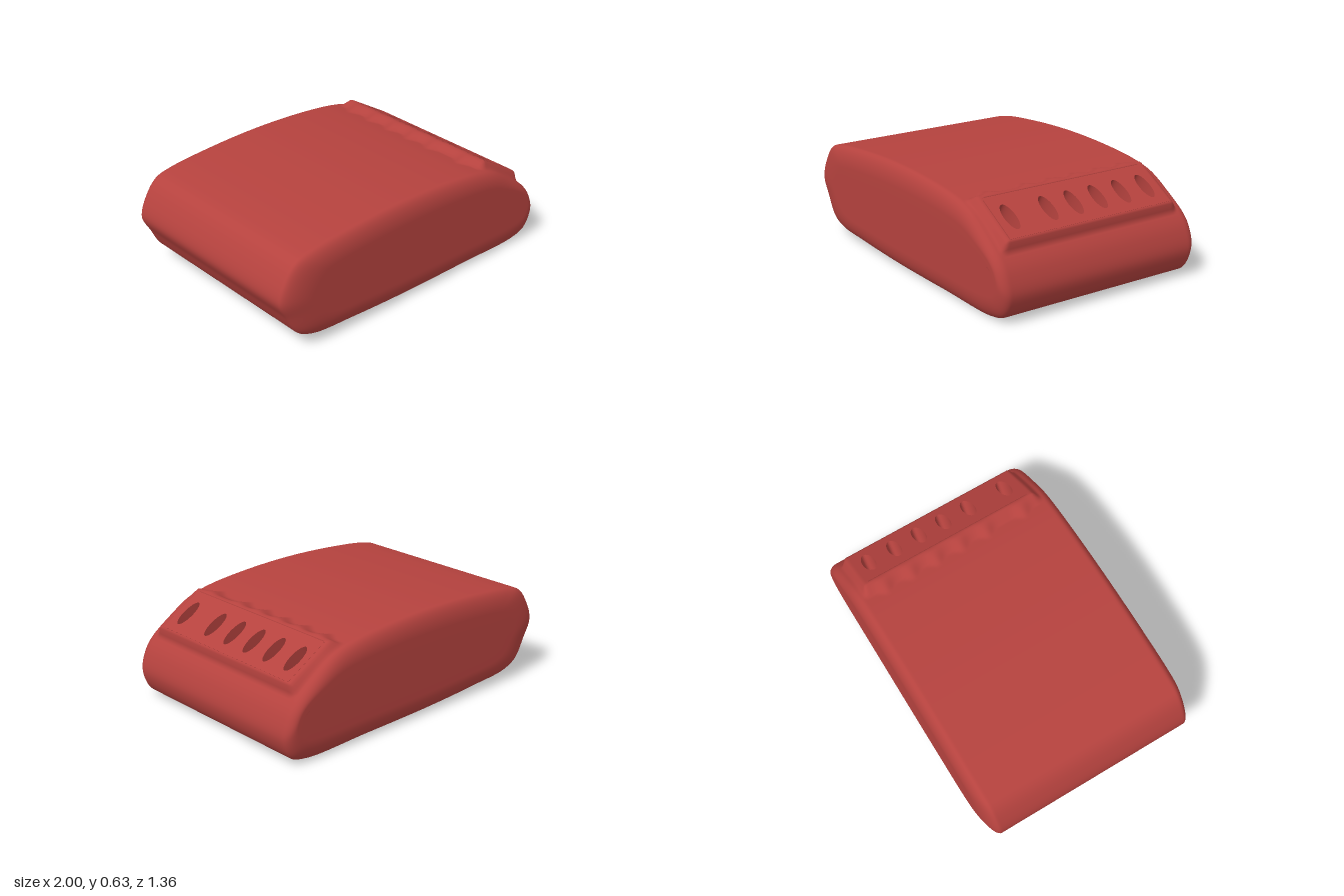
import * as THREE from 'three';

const material = new THREE.MeshStandardMaterial({ color: 0xb5423e });
const slotZ = [-0.475, -0.3, -0.13, 0.04, 0.215, 0.47];

// Sloped panel frame: centre, direction down the slope, outward normal
const centre = new THREE.Vector3(0.768, 0.51, 0);
const down = new THREE.Vector3(0.857, -0.515, 0).normalize();
const normal = new THREE.Vector3(-down.y, down.x, 0);

// Side outline of the body, counter-clockwise seen from the front
const outline = [
  [-1, 0.33], [-0.95, 0.22], [-0.88, 0.1], [-0.78, 0.05], [-0.5, 0.025], [-0.1, 0.006],
  [0.4, 0], [0.85, 0], [0.95, 0.035], [1, 0.15], [0.975, 0.26], [0.92, 0.345],
  [0.78, 0.455], [0.64, 0.54], [0.5, 0.578], [0.2, 0.61], [-0.15, 0.62],
  [-0.5, 0.605], [-0.78, 0.575], [-0.88, 0.545], [-0.95, 0.465],
];

const ripple = (z, width) => slotZ.reduce((sum, s) => sum + Math.exp(-(((z - s) / width) ** 2)), 0);
const fade = (d, margin) => 1 - THREE.MathUtils.smoothstep(d, 0, margin);

// Raises the panel surround, sinks its floor and dents the underside
function sculpt(p) {
  if (p.y > 0.28 && p.x > 0.4) {
    const q = p.clone().sub(centre);
    const u = q.dot(down), h = q.dot(normal);
    const upper = 0.05 + 0.04 * ripple(p.z, 0.045);
    const weight = fade(-0.17 - u, upper) * fade(u - 0.16, 0.03) * fade(Math.abs(p.z) - 0.57, 0.05);
    const sunk = u > -0.135 && u < 0.13 && Math.abs(p.z) < 0.54;
    p.addScaledVector(normal, (-h - (sunk ? 0.12 : 0.001)) * weight);
  } else if (p.y < 0.04 && p.x > 0.1 && p.x < 0.7) {
    const along = Math.sin((Math.PI * (p.x - 0.1)) / 0.6);
    p.y += 0.028 * along * ripple(p.z, 0.05);
  }
  return p;
}

// Body: the outline swept across the width, with elliptically rounded sides
function bodyGeometry() {
  const curve = new THREE.CatmullRomCurve3(
    outline.map(([x, y]) => new THREE.Vector3(x, y, 0)), true, 'centripetal');
  const count = 320;
  curve.arcLengthDivisions = 1200;
  const loop = curve.getSpacedPoints(count).slice(0, count);

  const rounded = [];
  for (let k = 1; k <= 10; k++) {
    const a = (k / 10) * Math.PI / 2;
    rounded.push({ z: 0.62 + 0.06 * Math.sin(a), s: 1 - Math.cos(a) });
  }
  rounded.push({ z: 0.68, s: 1.6 }, { z: 0.68, s: 2.5 });
  const stations = rounded.map(({ z, s }) => ({ z: -z, s })).reverse();
  for (let k = 0; k <= 124; k++) stations.push({ z: -0.62 + k * 0.01, s: 0 });
  stations.push(...rounded);

  const positions = [], index = [];
  stations.forEach(({ z, s }, j) => {
    for (let i = 0; i < count; i++) {
      const x = 0.5 + (loop[i].x - 0.5) * (1 - 0.13 * s);
      const y = 0.31 + (loop[i].y - 0.31) * (1 - 0.4 * s);
      const p = new THREE.Vector3(x, y, z);
      if (s === 0) sculpt(p);
      positions.push(p.x, p.y, p.z);
      if (j === stations.length - 1) continue;
      const a = j * count + i, b = j * count + ((i + 1) % count);
      index.push(a, b, a + count, b, b + count, a + count);
    }
  });
  const geometry = new THREE.BufferGeometry();
  geometry.setAttribute('position', new THREE.Float32BufferAttribute(positions, 3));
  geometry.setIndex(index);
  geometry.computeVertexNormals();
  return geometry;
}

// Panel: flat plate with six oval slots
function panelGeometry() {
  const depth = 0.15;
  const shape = new THREE.Shape([
    new THREE.Vector2(-0.155, -0.555), new THREE.Vector2(0.148, -0.555),
    new THREE.Vector2(0.148, 0.555), new THREE.Vector2(-0.155, 0.555),
  ]);
  for (const z of slotZ) {
    shape.holes.push(new THREE.Path().absellipse(0.005, -z, 0.09, 0.039, 0, Math.PI * 2, true));
  }
  const geometry = new THREE.ExtrudeGeometry(shape, { depth, bevelEnabled: false, curveSegments: 32 });
  geometry.translate(0, 0, -depth);
  const frame = new THREE.Matrix4().makeBasis(down, new THREE.Vector3(0, 0, -1), normal);
  return geometry.applyMatrix4(frame.setPosition(centre));
}

export function createModel() {
  const model = new THREE.Group();
  model.name = 'slottedBlock';
  const body = new THREE.Mesh(bodyGeometry(), material);
  body.name = 'body';
  const panel = new THREE.Mesh(panelGeometry(), material);
  panel.name = 'slotPanel';
  model.add(body, panel);
  return model;
}
